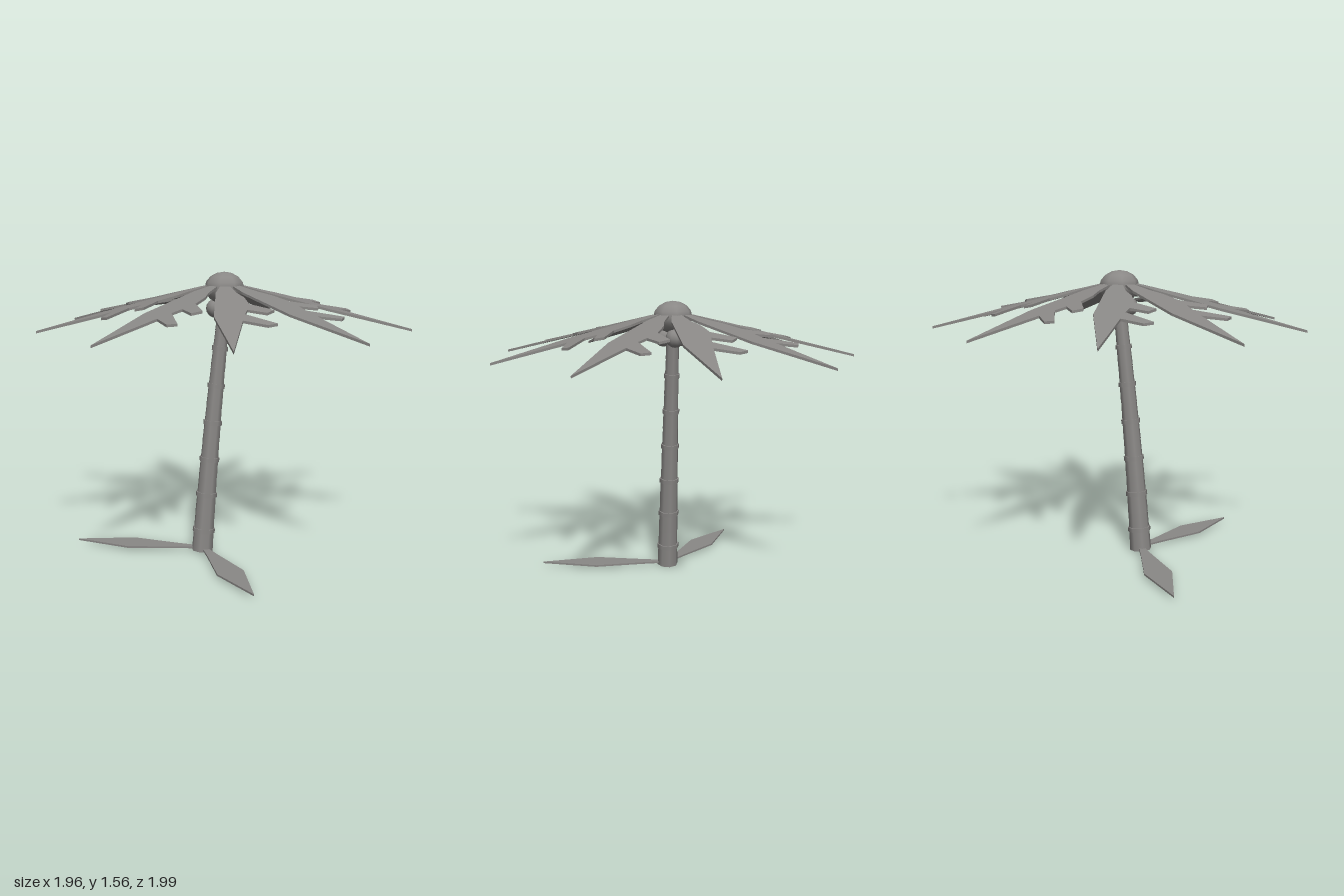
import * as THREE from 'three';

const grey = new THREE.MeshStandardMaterial({ color: 0x8a8886 });
grey.name = 'warm grey';

// Trunk centre line, leaning and bending gently towards +x
const trunkPoint = (y) => new THREE.Vector3(-0.185 + 0.085 * y + 0.018 * y * y, y, 0);
const trunkRadius = (y) => 0.06 - 0.018 * y;
const UP = new THREE.Vector3(0, 1, 0);

function add(parent, name, geometry) {
  const mesh = new THREE.Mesh(geometry, grey);
  mesh.name = name;
  parent.add(mesh);
  return mesh;
}

// Cylinder following the trunk line between two heights
function trunkPiece(parent, name, y0, y1, r0, r1) {
  const a = trunkPoint(y0), b = trunkPoint(y1);
  const mesh = add(parent, name, new THREE.CylinderGeometry(r1, r0, a.distanceTo(b), 8));
  mesh.position.lerpVectors(a, b, 0.5);
  mesh.quaternion.setFromUnitVectors(UP, b.sub(a).normalize());
}

// Flat outline (x along the leaf, second value across) as a thin plate lying level
function plate(points, thickness) {
  const shape = new THREE.Shape(points.map(([u, v]) => new THREE.Vector2(u, v)));
  return new THREE.ExtrudeGeometry(shape, { depth: thickness, bevelEnabled: false })
    .rotateX(Math.PI / 2);
}

// Frond outline: plain edge on one side, two forked leaflets on the other
const frondOutline = [
  [0.03, 0.01], [0.2, 0.053], [0.56, 0.074], [1.01, 0],
  [0.62, -0.064], [0.683, -0.18], [0.66, -0.228], [0.53, -0.08],
  [0.466, -0.095], [0.513, -0.19], [0.47, -0.228], [0.38, -0.11],
  [0.275, -0.09], [0.2, -0.053], [0.03, -0.01],
];
const fallenOutline = [
  [0, 0.01], [0.15, 0.03], [0.42, 0.075], [0.735, 0],
  [0.42, -0.075], [0.15, -0.03], [0, -0.01],
];

export function createModel() {
  const palm = new THREE.Group();
  palm.name = 'palmTree';

  // Trunk segments with small steps between them
  const trunk = new THREE.Group();
  trunk.name = 'trunk';
  palm.add(trunk);
  const seams = [0.006, 0.22, 0.43, 0.635, 0.84, 1.04, 1.24, 1.45];
  for (let i = 0; i < seams.length - 1; i++) {
    const r = trunkRadius(seams[i]);
    trunkPiece(trunk, 'trunkSegment', seams[i], seams[i + 1], r, r - 0.005);
  }
  // Bark rings
  for (const y of [0.125, 0.33, 0.53, 0.735, 0.94, 1.145]) {
    const r = trunkRadius(y) + 0.006;
    trunkPiece(trunk, 'barkRing', y - 0.012, y + 0.012, r, r);
  }

  // Crown
  const crown = new THREE.Group();
  crown.name = 'crown';
  crown.position.x = -0.035;
  palm.add(crown);
  const cap = add(crown, 'crownCap', new THREE.SphereGeometry(0.11, 8, 8));
  cap.scale.y = 0.8;
  cap.position.y = 1.472;

  // Drooping fronds
  const droop = new THREE.Matrix4().set(
    1, 0, 0, 0,
    -0.245, 1, 0, 0,
    0, 0, 1, 0,
    0, 0, 0, 1);
  const frondGeometry = plate(frondOutline, 0.013).applyMatrix4(droop);
  for (let i = 0; i < 9; i++) {
    const frond = add(crown, 'frond', frondGeometry);
    frond.position.y = 1.511;
    frond.rotation.y = (-i * Math.PI * 2) / 9;
  }

  // Coconuts
  for (let i = 0; i < 3; i++) {
    const a = (i * Math.PI * 2) / 3;
    const nut = add(crown, 'coconut', new THREE.SphereGeometry(0.052, 10, 8));
    nut.position.set(Math.cos(a) * 0.055, 1.36, Math.sin(a) * 0.055);
  }

  // Fallen leaves on the ground
  const fallenGeometry = plate(fallenOutline, 0.01);
  for (const [x, z] of [[-0.72, -0.5], [-0.32, 0.72]]) {
    const leaf = add(palm, 'fallenLeaf', fallenGeometry);
    leaf.position.set(-0.18, 0.025, 0);
    leaf.rotation.y = -Math.atan2(z, x + 0.18);
  }
  return palm;
}
